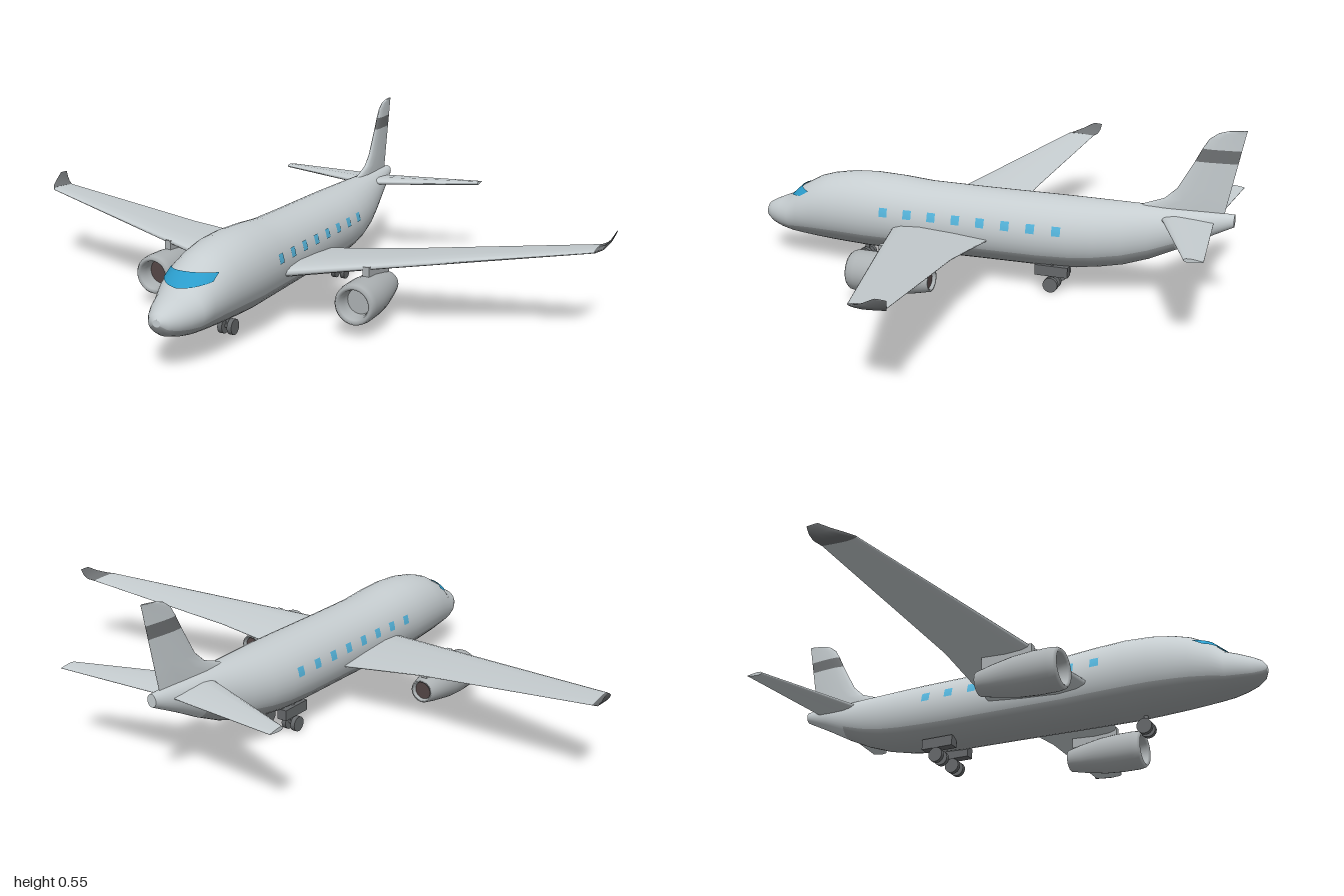
import * as THREE from 'three';

const mat = (name, color, side = THREE.FrontSide) => {
  const m = new THREE.MeshStandardMaterial({ color, side });
  m.name = name;
  return m;
};

// fuselage stations: z, bottom, top, half width
const STATIONS = [
  [0.81, 0.135, 0.155, 0.012], [0.80, 0.115, 0.17, 0.032], [0.775, 0.099, 0.184, 0.05],
  [0.74, 0.088, 0.199, 0.068], [0.70, 0.08, 0.214, 0.082], [0.66, 0.075, 0.25, 0.093],
  [0.6, 0.07, 0.282, 0.104], [0.55, 0.067, 0.297, 0.111], [0.48, 0.064, 0.309, 0.118],
  [0.4, 0.061, 0.313, 0.121], [0.3, 0.062, 0.309, 0.119], [0.2, 0.063, 0.301, 0.116],
  [0, 0.066, 0.299, 0.115], [-0.2, 0.068, 0.299, 0.114], [-0.3, 0.073, 0.299, 0.111],
  [-0.38, 0.083, 0.299, 0.101], [-0.46, 0.1, 0.299, 0.087], [-0.54, 0.128, 0.299, 0.07],
  [-0.62, 0.166, 0.298, 0.052], [-0.7, 0.21, 0.297, 0.036], [-0.79, 0.256, 0.295, 0.016],
];

function section(z) {
  let i = 0;
  while (i < STATIONS.length - 2 && STATIONS[i + 1][0] > z) i++;
  const a = STATIONS[i], b = STATIONS[i + 1], t = (z - a[0]) / (b[0] - a[0]);
  const [lo, hi, w] = [1, 2, 3].map((k) => a[k] + (b[k] - a[k]) * t);
  return { c: (lo + hi) / 2, h: (hi - lo) / 2, w };
}

// half width of the fuselage at a height and station
function halfWidth(y, z) {
  const { c, h, w } = section(z), s = (y - c) / h;
  return Math.abs(s) >= 1 ? 0 : w * Math.sqrt(1 - s * s);
}

// skin through closed rings; pick(i, j) gives the material index of each quad
function loft(rings, pick = () => 0) {
  const n = rings[0].length, pos = rings.flat(), lists = [[], []];
  const quad = (i, j) => {
    const a = i * n + j, b = i * n + (j + 1) % n;
    lists[pick(i, j)].push(a, b, a + n, b, b + n, a + n);
  };
  for (let i = 0; i < rings.length - 1; i++) for (let j = 0; j < n; j++) quad(i, j);
  // end caps with their own corners
  [[rings[0], 1], [rings[rings.length - 1], 0]].forEach(([ring, first]) => {
    const base = pos.length;
    pos.push(...ring);
    for (let j = 1; j < n - 1; j++) {
      lists[0].push(base, ...(first ? [base + j + 1, base + j] : [base + j, base + j + 1]));
    }
  });
  // make all faces point outward
  const idx = lists.flat(), v = pos.map((p) => new THREE.Vector3(...p));
  let volume = 0;
  for (let k = 0; k < idx.length; k += 3) {
    volume += v[idx[k]].dot(new THREE.Vector3().crossVectors(v[idx[k + 1]], v[idx[k + 2]]));
  }
  if (volume < 0) for (let k = 0; k < idx.length; k += 3) [idx[k], idx[k + 1]] = [idx[k + 1], idx[k]];
  const g = new THREE.BufferGeometry().setFromPoints(v);
  g.setIndex(idx);
  g.addGroup(0, lists[0].length, 0);
  g.addGroup(lists[0].length, lists[1].length, 1);
  g.computeVertexNormals();
  return g;
}

// thin curved sheet from a point function of u, v in 0..1
function patch(fn, nu, nv) {
  const g = new THREE.PlaneGeometry(1, 1, nu, nv), p = g.attributes.position;
  for (let i = 0; i < p.count; i++) p.setXYZ(i, ...fn(p.getX(i) + 0.5, p.getY(i) + 0.5));
  g.computeVertexNormals();
  return g;
}

const FOIL = [[0, 0], [0.02, 0.4], [0.1, 0.8], [0.3, 1], [0.65, 0.65], [1, 0.12],
  [1, -0.12], [0.65, -0.65], [0.3, -1], [0.1, -0.8], [0.02, -0.4]];

// sections: x, y, leading z, trailing z, half thickness
const wingLoft = (secs, s) => loft(secs.map(([x, y, zl, zt, t]) =>
  FOIL.map(([u, v]) => [s * x, y + v * t, zl + (zt - zl) * u])));
// sections: y, leading z, trailing z, half thickness
const finLoft = (secs) => loft(secs.map(([y, zl, zt, t]) =>
  FOIL.map(([u, v]) => [v * t, y, zl + (zt - zl) * u])));

export function createModel() {
  const model = new THREE.Group();
  const white = mat('light grey paint', 0xc6cdd0);
  const belly = mat('belly grey', 0xa4a9ab);
  const nacelle = mat('nacelle grey', 0xacb1b3, THREE.DoubleSide);
  const dark = mat('dark grey trim', 0x6e7173);
  const tyre = mat('wheel grey', 0x66696b);
  const fanDark = mat('fan dark', 0x544646);
  const glass = mat('cockpit blue', 0x2b9ccb, THREE.DoubleSide);
  const pane = mat('cabin window blue', 0x55b5dc, THREE.DoubleSide);
  const add = (name, geo, material, x = 0, y = 0, z = 0, parent = model) => {
    const m = new THREE.Mesh(geo, material);
    m.name = name;
    m.position.set(x, y, z);
    parent.add(m);
    return m;
  };

  // fuselage with a darker belly
  const N = 36;
  const rings = STATIONS.map(([z, lo, hi, w]) => Array.from({ length: N }, (_, j) => {
    const a = (j / N) * Math.PI * 2;
    return [w * Math.cos(a), (lo + hi) / 2 + ((hi - lo) / 2) * Math.sin(a), z];
  }));
  const isBelly = (i, j) => (j >= 21 && j < 33 && STATIONS[i + 1][0] > -0.65 ? 1 : 0);
  add('fuselage', loft(rings, isBelly), [white, belly]);

  // wraparound windshield
  add('windshield', patch((u, v) => {
    const k = u * 2 - 1, x = 0.076 * k;
    const y = THREE.MathUtils.lerp(0.212 + 0.012 * k * k, 0.249 - 0.006 * k * k, v);
    let a = 0.45, b = 0.81;
    for (let i = 0; i < 30; i++) {
      const m = (a + b) / 2;
      if (halfWidth(y, m) > Math.abs(x)) a = m; else b = m;
    }
    return [x * 1.02, y + 0.002, a + 0.003];
  }, 24, 6), glass);

  // main wing stations
  const wing = [[0.05, 0.15, 0.312, -0.038, 0.021], [0.12, 0.16, 0.288, -0.038, 0.02],
    [0.4, 0.194, 0.197, -0.036, 0.013], [0.96, 0.261, 0.012, -0.092, 0.006]];
  const winglet = [[0.96, 0.261, 0.012, -0.092, 0.0062], [0.98, 0.268, -0.012, -0.105, 0.006],
    [0.992, 0.282, -0.045, -0.112, 0.005], [1, 0.302, -0.08, -0.116, 0.002]];
  const tail = [[0.01, 0.268, -0.562, -0.73, 0.013], [0.06, 0.269, -0.585, -0.735, 0.012],
    [0.385, 0.272, -0.71, -0.765, 0.006]];

  // engine shell profile from exhaust to intake: radius, distance along axis
  const shell = [[0.026, 0.02], [0.03, 0], [0.037, 0], [0.048, 0.05], [0.06, 0.12], [0.064, 0.18],
    [0.064, 0.235], [0.061, 0.256], [0.054, 0.265], [0.046, 0.258], [0.041, 0.235], [0.039, 0.2]]
    .map((p) => new THREE.Vector2(...p));

  for (const s of [1, -1]) {
    const side = s > 0 ? 'left' : 'right';
    add(side + 'Wing', wingLoft(wing, s), white);
    add(side + 'Winglet', wingLoft(winglet, s), dark);
    add(side + 'Tailplane', wingLoft(tail, s), white);

    // cabin windows
    for (let i = 0; i < 8; i++) {
      const z0 = 0.318 - i * 0.0833;
      add(side + 'CabinWindow', patch((u, v) => {
        const y = 0.2 + 0.029 * v, z = z0 + 0.028 * (u - 0.5);
        return [s * (halfWidth(y, z) + 0.002), y, z];
      }, 2, 3), pane);
    }

    // engine under the wing
    const engine = new THREE.Group();
    engine.name = side + 'Engine';
    engine.position.set(s * 0.345, 0.1, 0.05);
    model.add(engine);
    add('nacelle', new THREE.LatheGeometry(shell, 32), nacelle, 0, 0, 0, engine).rotation.x = Math.PI / 2;
    add('fan', new THREE.CircleGeometry(0.041, 32), s > 0 ? nacelle : fanDark, 0, 0, 0.21, engine);
    add('exhaust', new THREE.CircleGeometry(0.03, 32), fanDark, 0, 0, 0.01, engine).rotation.y = Math.PI;
    add('pylon', new THREE.BoxGeometry(0.02, 0.05, 0.16), nacelle, 0, 0.067, 0.09, engine);
  }

  // fin in three pieces, with a dark band
  add('finBase', finLoft([[0.285, -0.47, -0.757, 0.013], [0.305, -0.52, -0.761, 0.012],
    [0.325, -0.575, -0.765, 0.011], [0.36, -0.613, -0.772, 0.01], [0.45, -0.663, -0.79, 0.008]]), white);
  add('finBand', finLoft([[0.45, -0.663, -0.79, 0.008], [0.49, -0.683, -0.798, 0.0072]]), dark);
  add('finTip', finLoft([[0.49, -0.683, -0.798, 0.0072], [0.52, -0.701, -0.804, 0.006],
    [0.54, -0.728, -0.808, 0.005], [0.548, -0.755, -0.81, 0.004], [0.553, -0.8, -0.811, 0.003]]), white);

  // landing gear
  const wheel = new THREE.CylinderGeometry(0.024, 0.024, 0.015, 20).rotateZ(Math.PI / 2);
  const gear = (name, x, z, gap) => {
    const g = new THREE.Group();
    g.name = name;
    g.position.set(x, 0, z);
    model.add(g);
    for (const s of [1, -1]) add('wheel', wheel, tyre, s * gap, 0.024, 0, g);
    add('axle', new THREE.CylinderGeometry(0.006, 0.006, gap * 2, 10).rotateZ(Math.PI / 2), dark, 0, 0.024, 0, g);
    add('strut', new THREE.CylinderGeometry(0.007, 0.007, 0.07, 10), dark, 0, 0.055, 0, g);
    return g;
  };
  gear('noseGear', 0, 0.435, 0.016);
  for (const s of [1, -1]) {
    const g = gear(s > 0 ? 'leftMainGear' : 'rightMainGear', s * 0.055, -0.24, 0.017);
    add('gearHousing', new THREE.BoxGeometry(0.032, 0.034, 0.108), tyre, 0, 0.068, 0, g);
  }
  return model;
}
